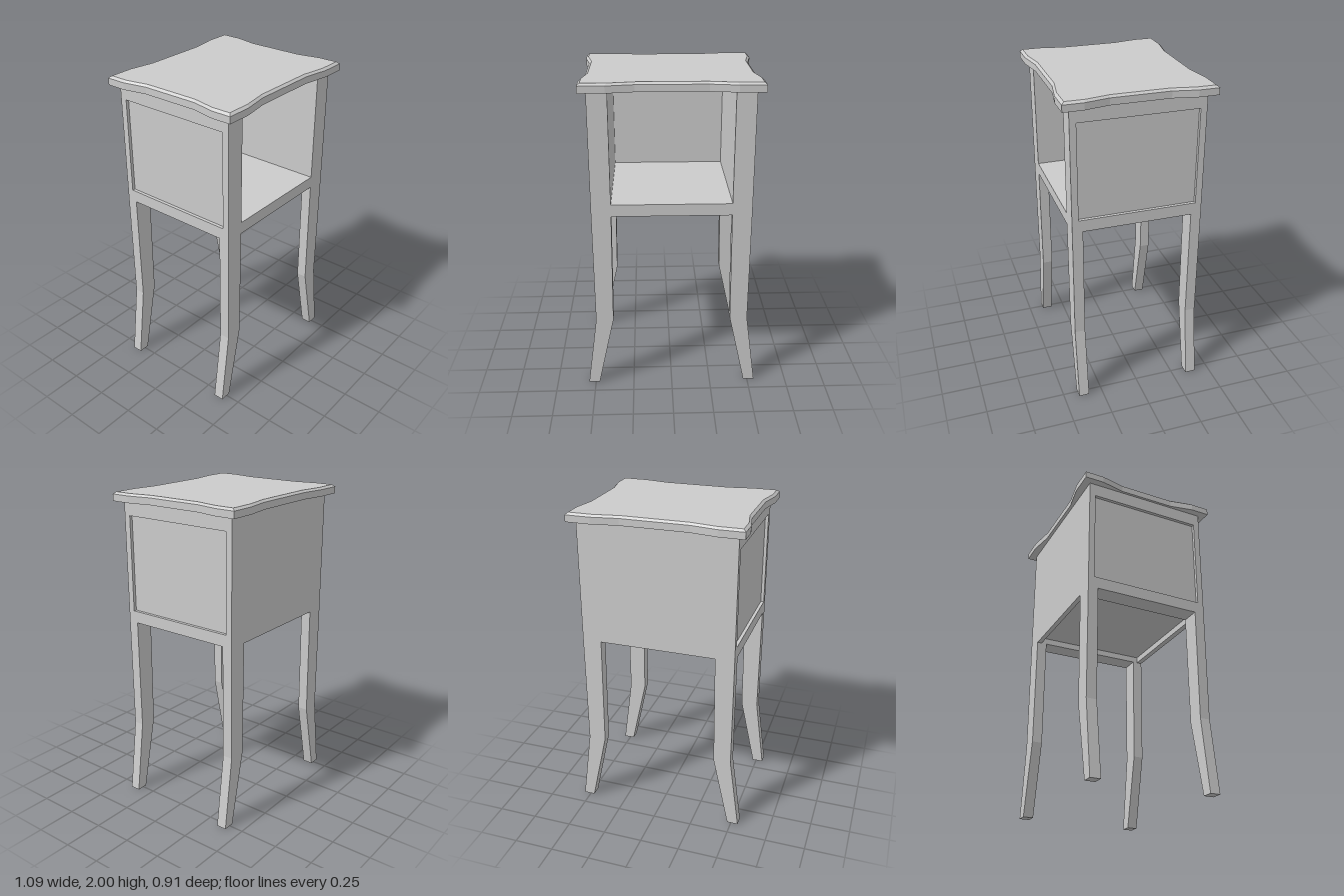
import * as THREE from 'three';

const material = new THREE.MeshStandardMaterial({ color: 0xcccccc, flatShading: true });

export function createModel() {
  const model = new THREE.Group();
  model.name = 'sideTable';

  const add = (name, geometry) => {
    const mesh = new THREE.Mesh(geometry, material);
    mesh.name = name;
    model.add(mesh);
    return mesh;
  };
  // Box given by its limits on each axis
  const box = (name, x0, x1, y0, y1, z0, z1) =>
    add(name, new THREE.BoxGeometry(x1 - x0, y1 - y0, z1 - z0)
      .translate((x0 + x1) / 2, (y0 + y1) / 2, (z0 + z1) / 2));
  const toShape = (points) => new THREE.Shape(points.map(([x, y]) => new THREE.Vector2(x, y)));
  const rect = (w, y0, y1) => [[-w, y0], [w, y0], [w, y1], [-w, y1]];

  const bottom = 1.185, floorTop = 1.26, caseTop = 1.945;

  // Table top: wavy outline with a chamfered upper edge
  const quarter = [[0.5, 0.18], [0.53, 0.33], [0.53, 0.453], [0.375, 0.453], [0.21, 0.425]];
  const flip = (sx, sy) => quarter.map(([x, y]) => [x * sx, y * sy]);
  const outline = [
    ...flip(1, 1), ...flip(-1, 1).reverse(), ...flip(-1, -1), ...flip(1, -1).reverse(),
  ];
  const top = new THREE.ExtrudeGeometry(toShape(outline), { depth: 2, steps: 2, bevelEnabled: false });
  const p = top.attributes.position;
  const layers = [0, 0.042, 0.055];
  for (let i = 0; i < p.count; i++) {
    const layer = Math.round(p.getZ(i));
    const inset = layer === 2 ? 0.016 : 0;
    p.setXYZ(i, p.getX(i) * (1 - inset / 0.53), p.getY(i) * (1 - inset / 0.45), layers[layer]);
  }
  top.computeVertexNormals();
  add('tableTop', top.rotateX(-Math.PI / 2).translate(0, caseTop, 0));

  // Case: floor, front rail and closed back
  box('floor', -0.365, 0.365, 1.225, floorTop, -0.375, 0.37);
  box('frontRail', -0.365, 0.365, bottom, floorTop, 0.37, 0.405);
  box('backPanel', -0.365, 0.365, bottom, caseTop, -0.405, -0.375);

  // Side frame with a sunken panel
  const frame = toShape(rect(0.405, bottom, caseTop));
  frame.holes.push(new THREE.Path(rect(0.365, floorTop, 1.86).map(([x, y]) => new THREE.Vector2(x, y))));

  // Leg: straight upper part, foot splayed outwards
  const legProfile = [
    [0.365, bottom], [0.372, 0.47], [0.475, 0], [0.545, 0], [0.482, 0.47], [0.485, bottom],
  ];

  for (const [side, s] of [['left', 1], ['right', -1]]) {
    const inner = s * 0.365, outer = s * 0.465;
    box(side + 'SidePanel', Math.min(inner, outer), Math.max(inner, outer), bottom, caseTop, -0.405, 0.405);
    add(side + 'SideFrame', new THREE.ExtrudeGeometry(frame, { depth: 0.02, bevelEnabled: false })
      .rotateY(Math.PI / 2).translate(s > 0 ? 0.465 : -0.485, 0, 0));

    const legShape = toShape(legProfile.map(([x, y]) => [x * s, y]));
    for (const [end, z] of [['Front', 0.34], ['Back', -0.405]]) {
      add(side + end + 'Leg', new THREE.ExtrudeGeometry(legShape, { depth: 0.065, bevelEnabled: false })
        .translate(0, 0, z));
    }
  }
  return model;
}
